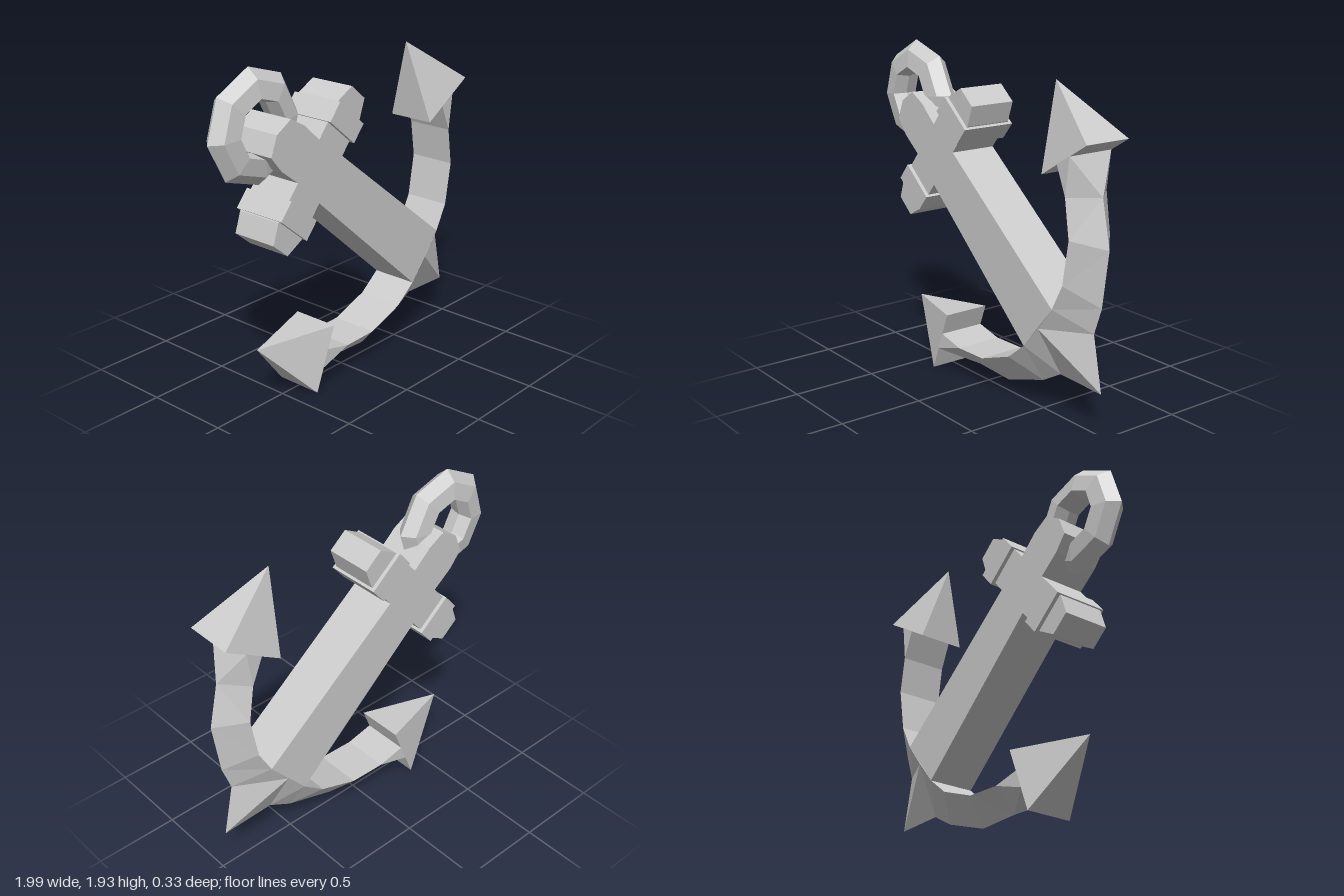
import * as THREE from 'three';
import { ConvexGeometry } from 'three/addons/geometries/ConvexGeometry.js';

const material = new THREE.MeshStandardMaterial({ color: 0xcccccc, flatShading: true, side: THREE.DoubleSide });
const HALF = 0.142; // half thickness of the body

function addMesh(parent, name, geometry) {
  const mesh = new THREE.Mesh(geometry, material);
  mesh.name = name;
  parent.add(mesh);
  return mesh;
}

// Shank, stock and neck: one symmetric outline, extruded
function bodyGeometry() {
  const half = [
    [0.177, 0.463], [0.145, 1.574], [0.365, 1.574], [0.481, 1.618],
    [0.481, 1.754], [0.365, 1.8], [0.13, 1.8], [0.136, 1.952], [0.114, 2.065],
  ];
  const outline = [...half, [0, 2.104], ...half.map(([x, y]) => [-x, y]).reverse()];
  const shape = new THREE.Shape(outline.map(([x, y]) => new THREE.Vector2(x, y)));
  return new THREE.ExtrudeGeometry(shape, { depth: 2 * HALF, bevelEnabled: false }).translate(0, 0, -HALF);
}

// Curved arm: wide inner face, ridged outside; the end opens to a square section
function armGeometry() {
  // inner x, inner y, outer x, outer y, outer half width
  const sections = [
    [0, 0.46, 0, 0, 0],
    [0.177, 0.463, 0.2, 0.253, 0],
    [0.343, 0.498, 0.354, 0.311, 0],
    [0.564, 0.627, 0.629, 0.483, 0],
    [0.711, 0.793, 0.794, 0.696, 0],
    [0.79, 0.947, 0.896, 0.912, HALF],
  ];
  const positions = [];
  const index = [];
  sections.forEach(([ix, iy, ox, oy, w], i) => {
    positions.push(ix, iy, HALF, ox, oy, w, ox, oy, -w, ix, iy, -HALF);
    if (i === sections.length - 1) return;
    for (let k = 0; k < 4; k++) {
      const a = i * 4 + k, b = i * 4 + (k + 1) % 4;
      const c = a + 4, d = b + 4;
      if (k === 2) index.push(a, b, c, b, d, c);
      else index.push(a, b, d, a, d, c);
    }
  });
  const geometry = new THREE.BufferGeometry();
  geometry.setAttribute('position', new THREE.Float32BufferAttribute(positions, 3));
  geometry.setIndex(index);
  const flat = geometry.toNonIndexed();
  flat.computeVertexNormals();
  return flat;
}

// Fluke: four-sided pyramid on the end of an arm
function flukeGeometry() {
  const points = [new THREE.Vector3(0.979, 1.339, 0)];
  for (const z of [-HALF, HALF]) {
    points.push(new THREE.Vector3(1.033, 0.863, z), new THREE.Vector3(0.657, 0.991, z));
  }
  return new ConvexGeometry(points);
}

// Ring: faceted section turned in eight steps
function ringGeometry() {
  const profile = [
    [0.145, 0], [0.165, -0.08], [0.265, -0.064], [0.322, 0],
    [0.265, 0.064], [0.165, 0.08], [0.145, 0],
  ].map(([r, y]) => new THREE.Vector2(r, y));
  return new THREE.LatheGeometry(profile, 8).rotateX(Math.PI / 2).translate(0, 2.138, 0);
}

export function createModel() {
  const model = new THREE.Group();
  model.name = 'anchor';

  // Built upright with the crown tip at the origin, then tilted
  const anchor = new THREE.Group();
  anchor.name = 'tiltedAnchor';
  anchor.position.set(0.963, 0.24, 0);
  anchor.rotation.z = THREE.MathUtils.degToRad(50);
  model.add(anchor);

  addMesh(anchor, 'shankAndStock', bodyGeometry());
  addMesh(anchor, 'ring', ringGeometry());

  // Half turns about the shank give the opposite side
  for (const [side, turn] of [['left', 0], ['right', Math.PI]]) {
    const half = new THREE.Group();
    half.name = side + 'Side';
    half.rotation.y = turn;
    anchor.add(half);
    addMesh(half, side + 'Arm', armGeometry());
    addMesh(half, side + 'Fluke', flukeGeometry());
    addMesh(half, side + 'StockBand', new THREE.BoxGeometry(0.122, 0.25, 0.33).translate(0.297, 1.683, 0));
  }
  return model;
}
